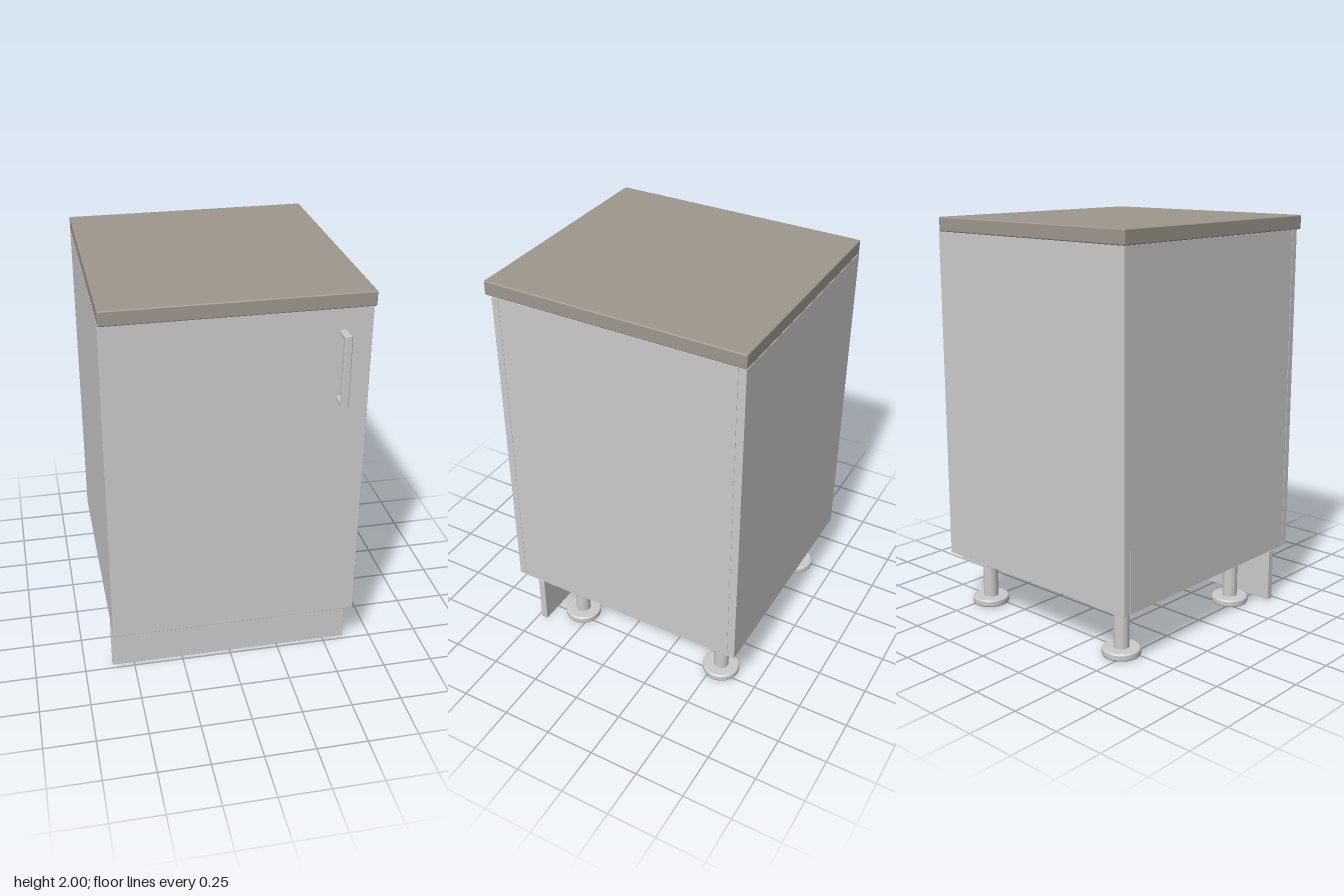
import * as THREE from 'three';
import { RoundedBoxGeometry } from 'three/addons/geometries/RoundedBoxGeometry.js';

const body = new THREE.MeshStandardMaterial({ name: 'pale grey', color: 0xcbcbcb });
const stone = new THREE.MeshStandardMaterial({ name: 'warm grey worktop', color: 0x9f978e });

export function createModel() {
  const group = new THREE.Group();

  // Panel given by its extents on each axis; a bevel softens the edges
  function panel(name, x0, x1, y0, y1, z0, z1, material = body, bevel = 0) {
    const size = [x1 - x0, y1 - y0, z1 - z0];
    const geometry = bevel ? new RoundedBoxGeometry(...size, 2, bevel) : new THREE.BoxGeometry(...size);
    const mesh = new THREE.Mesh(geometry, material);
    mesh.name = name;
    mesh.position.set((x0 + x1) / 2, (y0 + y1) / 2, (z0 + z1) / 2);
    group.add(mesh);
    return mesh;
  }

  const W = 0.61, T = 0.036, low = 0.273, high = 1.93;

  // Worktop, door, back and plinth
  panel('worktop', -W, W, high, 2, -0.68, 0.632, stone, 0.006);
  panel('door', -W, W, low, high, 0.56, 0.596, body, 0.002);
  panel('backPanel', -W, W, low, high, -0.68, -0.642);
  panel('plinth', -W, W, 0.003, 0.27, 0.445, 0.48, body, 0.002);

  // Carcass panels
  panel('leftSide', W - T, W, low, high, -0.641, 0.558);
  panel('rightSide', -W, -W + T, low, high, -0.641, 0.558);
  panel('bottomPanel', -W + T, W - T, low, low + T, -0.641, 0.558);
  panel('topPanel', -W + T, W - T, high - T, high, -0.641, 0.558);

  // Handle: a C-shaped bracket, drawn in the z-y plane and extruded across x
  const b = 0.004;
  const outline = new THREE.Shape([
    [0, 0], [0.086, 0], [0.086, 0.345], [0, 0.345],
    [0, 0.323], [0.062, 0.323], [0.062, 0.022], [0, 0.022],
  ].map(([z, y]) => new THREE.Vector2(z, y)));
  const handleGeometry = new THREE.ExtrudeGeometry(outline, {
    depth: 0.036 - 2 * b, bevelEnabled: true, bevelSize: b, bevelOffset: -b, bevelThickness: b, bevelSegments: 1,
  });
  handleGeometry.rotateY(-Math.PI / 2);
  const handle = new THREE.Mesh(handleGeometry, body);
  handle.name = 'handle';
  handle.position.set(0.493 - b, 1.47, 0.594);
  group.add(handle);

  // Adjustable feet: mounting plate, stem and round pad with softened rims
  const padProfile = [[0, 0], [0.086, 0], [0.086, 0], [0.092, 0.003], [0.094, 0.009], [0.094, 0.009],
    [0.094, 0.03], [0.094, 0.03], [0.092, 0.035], [0.086, 0.038], [0.086, 0.038], [0, 0.038]]
    .map(([r, y]) => new THREE.Vector2(r, y));
  const padGeometry = new THREE.LatheGeometry(padProfile, 40);
  const stemGeometry = new THREE.CylinderGeometry(0.038, 0.038, 0.22, 32);
  for (const x of [-0.465, 0.465]) {
    for (const z of [0.302, -0.542]) {
      const pad = new THREE.Mesh(padGeometry, body);
      pad.name = 'footPad';
      pad.position.set(x, 0, z);
      const stem = new THREE.Mesh(stemGeometry, body);
      stem.name = 'footStem';
      stem.position.set(x, 0.14, z);
      group.add(pad, stem);
      panel('footPlate', x - 0.102, x + 0.102, 0.245, low, z - 0.102, z + 0.102);
    }
  }
  return group;
}
